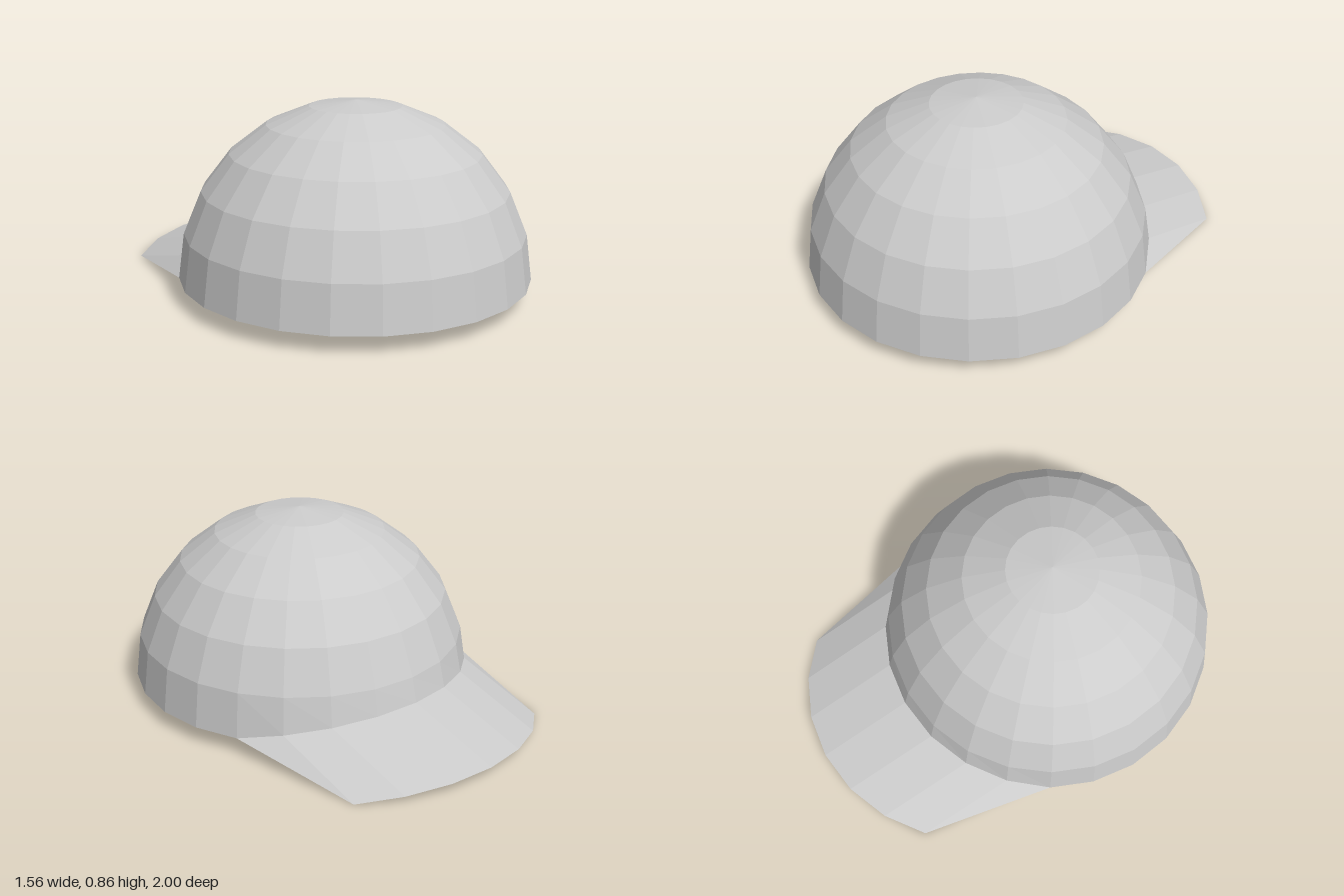
import * as THREE from 'three';

const R = 0.78, BASE = 0.08, CZ = 0.22; // crown radius, rim height, crown centre

// Rim height: flat around the crown, rising linearly where the brim joins
const BRIM_START = CZ - R * Math.cos(Math.PI / 3);
const rimY = (z) => BASE + 0.09 * Math.max(0, (BRIM_START - z) / (BRIM_START - CZ + R));

export function createModel() {
  const group = new THREE.Group();
  group.name = 'cap';
  const material = new THREE.MeshStandardMaterial({
    color: 0xcccccc, flatShading: true, side: THREE.DoubleSide,
  });

  // Crown: open hemisphere with its rim lifted over the brim
  const dome = new THREE.SphereGeometry(R, 24, 6, 0, Math.PI * 2, 0, Math.PI / 2);
  dome.translate(0, BASE, CZ);
  const p = dome.attributes.position;
  for (let i = 0; i < p.count; i++) {
    if (p.getY(i) < BASE + 0.01) p.setY(i, rimY(p.getZ(i)));
  }
  dome.computeVertexNormals();
  const crown = new THREE.Mesh(dome, material);
  crown.name = 'crown';
  group.add(crown);

  // Brim: the rim arc swept outwards and down, with a triangle at each end
  const inner = [], outer = [];
  for (let k = -4; k <= 4; k++) {
    const a = (k * Math.PI) / 12;
    const x = R * Math.sin(a), z = CZ - R * Math.cos(a), y = rimY(z);
    inner.push([x, y, z]);
    if (Math.abs(k) < 4) outer.push([x, y - 0.117, z - 0.44]);
  }
  const tris = [inner[0], inner[1], outer[0], inner[7], inner[8], outer[6]];
  for (let i = 0; i < 6; i++) {
    const a = inner[i + 1], b = inner[i + 2], c = outer[i], d = outer[i + 1];
    tris.push(a, b, c, b, d, c);
  }
  const sheet = new THREE.BufferGeometry();
  sheet.setAttribute('position', new THREE.Float32BufferAttribute(tris.flat(), 3));
  sheet.computeVertexNormals();
  const brim = new THREE.Mesh(sheet, material);
  brim.name = 'brim';
  group.add(brim);

  return group;
}
